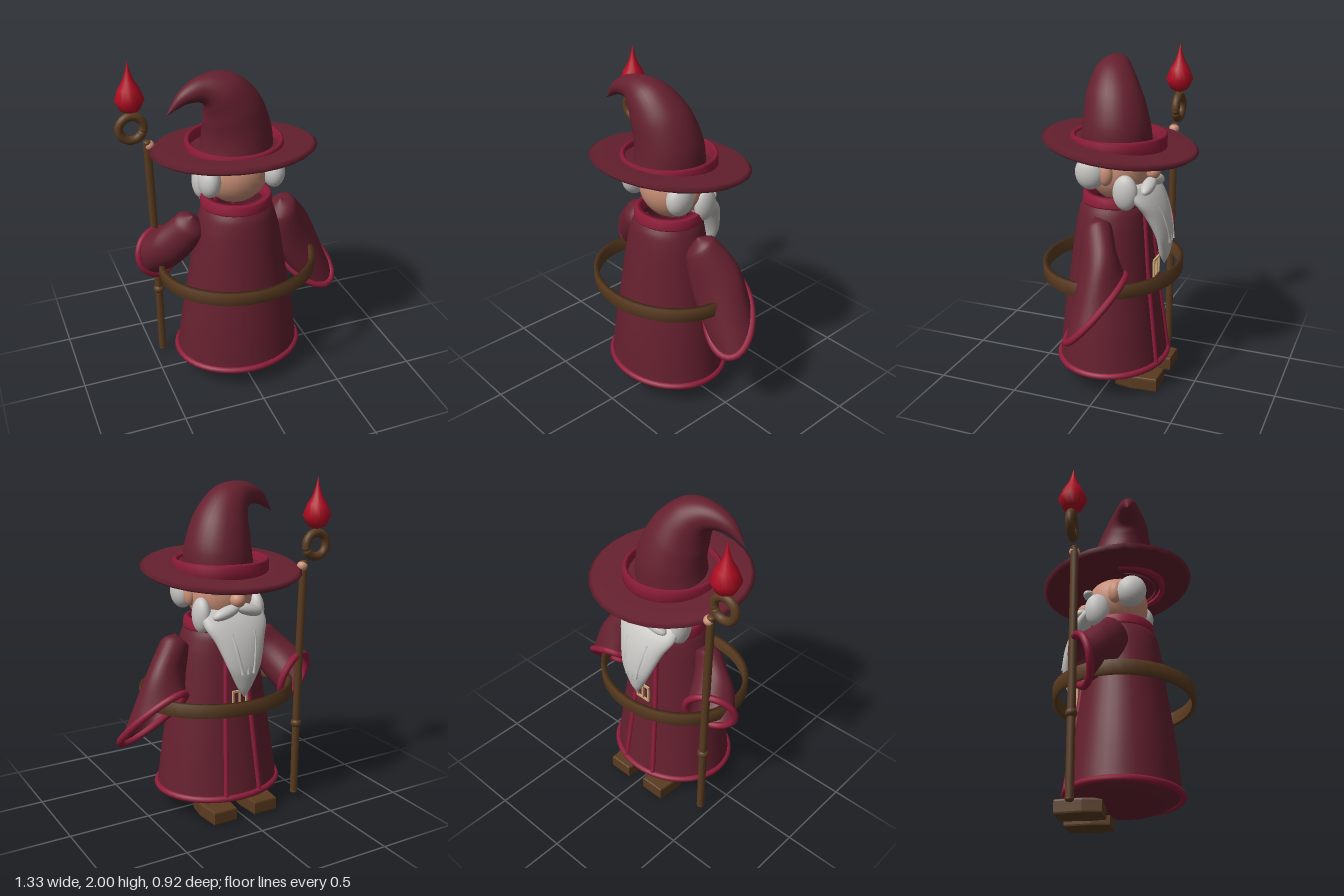
import * as THREE from 'three';

const mat = (name, color) => {
  const m = new THREE.MeshStandardMaterial({ color, side: THREE.DoubleSide });
  m.name = name;
  return m;
};
const V = (x, y, z) => new THREE.Vector3(x, y, z);

// Skin through rings { c, u, v }: centre and two half axes, smoothed by splines
function loft(rings, steps = 24, sides = 32) {
  const curves = ['c', 'u', 'v'].map((k) => new THREE.CatmullRomCurve3(rings.map((r) => r[k])));
  const pos = [], idx = [];
  for (let i = 0; i <= steps; i++) {
    const [c, u, v] = curves.map((k) => k.getPoint(i / steps));
    for (let j = 0; j < sides; j++) {
      const a = (j / sides) * Math.PI * 2;
      pos.push(...c.clone().addScaledVector(u, Math.cos(a)).addScaledVector(v, Math.sin(a)).toArray());
      if (i === steps) continue;
      const p = i * sides + j, q = i * sides + ((j + 1) % sides);
      idx.push(p, q, p + sides, q, q + sides, p + sides);
    }
  }
  const g = new THREE.BufferGeometry();
  g.setAttribute('position', new THREE.Float32BufferAttribute(pos, 3));
  g.setIndex(idx);
  g.computeVertexNormals();
  return g;
}

// Upright ring: height, half width, half depth, z of the centre
const flatRing = ([y, rx, rz, cz]) => ({ c: V(0, y, cz), u: V(rx, 0, 0), v: V(0, 0, -rz) });
const lathe = (pts, n = 24) => new THREE.LatheGeometry(pts.map((p) => new THREE.Vector2(...p)), n);
const tube = (pts, r, closed = false, n = 32) =>
  new THREE.TubeGeometry(new THREE.CatmullRomCurve3(pts, closed), n, r, 8, closed);
const loop = (c, u, v, n = 24) => Array.from({ length: n }, (_, i) => {
  const a = (i / n) * Math.PI * 2;
  return c.clone().addScaledVector(u, Math.cos(a)).addScaledVector(v, Math.sin(a));
});

export function createModel() {
  const model = new THREE.Group();
  model.name = 'wizard';
  const robe = mat('robe maroon', 0x65202f), trim = mat('trim crimson', 0x8f1c3a);
  const wood = mat('brown', 0x5a3b20), hair = mat('hair grey', 0xc6c5c2);
  const skin = mat('skin', 0xcb9078), flame = mat('flame red', 0xb00c22);
  const brass = mat('buckle tan', 0xc8a878);

  const add = (name, geo, m, x = 0, y = 0, z = 0) => {
    const mesh = new THREE.Mesh(geo, m);
    mesh.name = name;
    mesh.position.set(x, y, z);
    model.add(mesh);
    return mesh;
  };
  const blob = (name, m, x, y, z, rx, ry, rz) => {
    const b = add(name, new THREE.SphereGeometry(1, 24, 16), m, x, y, z);
    b.scale.set(rx, ry, rz);
    return b;
  };

  // Robe with rounded underside
  const rows = [[0.14, 0.385, 0.33, 0.035], [0.4, 0.35, 0.3, 0.04], [0.7, 0.3, 0.26, 0.04],
    [1.0, 0.25, 0.225, 0.035], [1.1, 0.22, 0.21, 0.03], [1.16, 0.19, 0.18, 0.025]];
  add('robe', loft(rows.map(flatRing), 20, 40), robe);
  add('robeUnderside', loft([[0.05, 0.001, 0.001, 0.03], [0.075, 0.24, 0.2, 0.035], [0.14, 0.385, 0.33, 0.035]]
    .map(flatRing), 8, 40), robe);
  add('hemTrim', tube(loop(V(0, 0.14, 0.035), V(0.385, 0, 0), V(0, 0, -0.33)), 0.02, true, 48), trim);
  const collar = add('collar', lathe([[0.17, 1.135], [0.21, 1.135], [0.215, 1.145], [0.21, 1.19],
    [0.2, 1.2], [0.17, 1.2], [0.17, 1.135]], 32), trim, 0, 0, 0.02);
  collar.scale.z = 0.95;

  // Front edges of the robe
  for (const s of [-1, 1]) {
    const pts = rows.slice(0, 5).map(([y, rx, rz, cz]) => {
      const x = 0.115 - 0.06 * (y - 0.14);
      return V(s * x, y, cz - rz * Math.sqrt(1 - (x / rx) ** 2));
    });
    add('frontTrim', tube(pts, 0.016), trim);
  }

  // Shoes
  const shoe = new THREE.Shape();
  shoe.moveTo(-0.07, -0.25).lineTo(0.07, -0.25).lineTo(0.085, -0.1).lineTo(0.07, 0).lineTo(-0.07, 0).lineTo(-0.085, -0.1);
  const shoeGeo = new THREE.ExtrudeGeometry(shoe, { depth: 0.06, bevelSize: 0.008, bevelThickness: 0.013, bevelSegments: 2 });
  shoeGeo.rotateX(Math.PI / 2);
  for (const s of [-1, 1]) add('shoe', shoeGeo, wood, s * 0.14, 0.075, -0.06);

  // Sleeves, wide at the cuff
  const sleeves = {
    left: [
      { c: V(0.275, 1.11, 0.045), u: V(0.002, 0, 0), v: V(0, 0, -0.002) },
      { c: V(0.285, 1.05, 0.035), u: V(0.085, 0.04, 0), v: V(0, 0.04, -0.08) },
      { c: V(0.37, 0.87, 0.0), u: V(0.13, 0.02, 0), v: V(0.02, 0.09, -0.115) },
      { c: V(0.47, 0.635, -0.03), u: V(0.175, -0.06, 0), v: V(-0.06, 0.165, -0.145) }],
    right: [
      { c: V(-0.28, 1.1, 0.045), u: V(-0.002, 0, 0), v: V(0, 0, -0.002) },
      { c: V(-0.29, 1.04, 0.03), u: V(-0.085, 0.03, 0), v: V(0, 0.05, -0.07) },
      { c: V(-0.38, 0.9, -0.03), u: V(-0.12, 0, 0.04), v: V(-0.02, 0.11, -0.05) },
      { c: V(-0.45, 0.79, -0.14), u: V(-0.135, 0.02, 0.06), v: V(0, 0.135, -0.04) }],
  };
  for (const [side, rings] of Object.entries(sleeves)) {
    const end = rings[3];
    add(side + 'Sleeve', loft(rings), robe);
    add(side + 'Cuff', tube(loop(end.c, end.u, end.v), 0.021, true, 40), trim);
  }

  // Wide hoop belt and buckle
  const belt = add('belt', lathe([[0.455, 0.69], [0.485, 0.69], [0.485, 0.77], [0.455, 0.77], [0.455, 0.69]], 40), wood, 0, 0, 0.04);
  belt.scale.z = 0.865;
  for (const x of [-0.045, 0, 0.045]) add('buckleBar', new THREE.BoxGeometry(0.012, 0.1, 0.012), brass, x, 0.74, -0.235);
  for (const y of [0.69, 0.79]) add('buckleRail', new THREE.BoxGeometry(0.1, 0.012, 0.012), brass, 0, y, -0.235);

  // Head, ears, nose and hair
  blob('head', skin, 0, 1.34, 0.0, 0.2, 0.2, 0.185);
  blob('nose', skin, 0, 1.33, -0.205, 0.045, 0.045, 0.045);
  for (const s of [-1, 1]) {
    blob('ear', skin, s * 0.195, 1.345, 0.015, 0.035, 0.07, 0.045);
    blob('hairPuff', hair, s * 0.195, 1.345, 0.11, 0.065, 0.1, 0.09);
    blob('cheekBeard', hair, s * 0.18, 1.24, -0.1, 0.05, 0.105, 0.075);
    blob('moustache', hair, s * 0.075, 1.265, -0.205, 0.09, 0.035, 0.04).rotation.z = -s * 0.3;
    blob('eyebrow', hair, s * 0.085, 1.395, -0.165, 0.07, 0.028, 0.035).rotation.z = -s * 0.2;
  }

  // Long tapering beard with raised strands
  add('beard', loft([[0.77, 0.003, 0.003, -0.285], [0.83, 0.045, 0.03, -0.285], [0.95, 0.105, 0.045, -0.285],
    [1.1, 0.16, 0.065, -0.235], [1.2, 0.205, 0.075, -0.175], [1.265, 0.2, 0.06, -0.13], [1.28, 0.002, 0.002, -0.12]]
    .map(flatRing), 28), hair);
  for (const s of [-1, 0, 1]) {
    add('beardStrand', tube([V(s * 0.075, 1.15, -0.265), V(s * 0.06, 1.05, -0.303), V(s * 0.035, 0.92, -0.327)], 0.01), hair);
  }

  // Hat: tilted brim, loose band and a bent cone
  const brim = add('hatBrim', lathe([[0, -0.03], [0.3, -0.03], [0.46, -0.02], [0.485, 0], [0.46, 0.018], [0.3, 0.012], [0, 0.012]], 28),
    robe, -0.01, 1.485, 0);
  brim.rotation.x = -0.12;
  brim.scale.z = 0.95;
  add('hatBand', lathe([[0.255, 1.46], [0.285, 1.46], [0.285, 1.535], [0.27, 1.547], [0.255, 1.535], [0.255, 1.46]], 28),
    trim, -0.01, 0, 0.01);
  const cone = [[0, 1.46, 0.02, 0.215], [0, 1.6, 0.02, 0.2], [-0.04, 1.74, 0.04, 0.175], [-0.12, 1.855, 0.07, 0.128],
    [-0.22, 1.89, 0.09, 0.076], [-0.33, 1.865, 0.11, 0.042], [-0.43, 1.78, 0.12, 0.002]];
  add('hatCone', loft(cone.map(([x, y, z, r], i) => {
    const a = cone[Math.max(i - 1, 0)], b = cone[Math.min(i + 1, 6)];
    const t = V(b[0] - a[0], b[1] - a[1], 0).normalize();
    return { c: V(x, y, z), u: V(t.y * r, -t.x * r, 0), v: V(0, 0, -r) };
  }), 36), robe);

  // Staff with a curled head, a knot, the hand and the flame
  add('staff', tube([V(-0.44, 0.02, -0.185), V(-0.445, 0.5, -0.185), V(-0.455, 1.0, -0.185), V(-0.468, 1.5, -0.185)], 0.024), wood);
  for (const y of [0.02, 1.5]) {
    blob('staffEnd', wood, y < 1 ? -0.44 : -0.468, y, -0.185, 0.024, 0.015, 0.024);
  }
  blob('staffKnot', wood, -0.445, 0.485, -0.185, 0.034, 0.03, 0.034);
  const curl = add('staffCurl', new THREE.TorusGeometry(0.072, 0.026, 10, 28, Math.PI * 1.88), wood, -0.555, 1.6, -0.185);
  curl.rotation.z = -0.2;
  for (const a of [-0.2, Math.PI * 1.88 - 0.2]) {
    blob('curlTip', wood, -0.555 + 0.072 * Math.cos(a), 1.6 + 0.072 * Math.sin(a), -0.185, 0.026, 0.026, 0.026);
  }
  blob('hand', skin, -0.457, 1.48, -0.187, 0.032, 0.03, 0.032);
  add('flame', lathe([[0, 1.69], [0.055, 1.715], [0.085, 1.775], [0.06, 1.84], [0.03, 1.89], [0.012, 1.945], [0, 2]], 16),
    flame, -0.555, 0, -0.185);

  return model;
}
